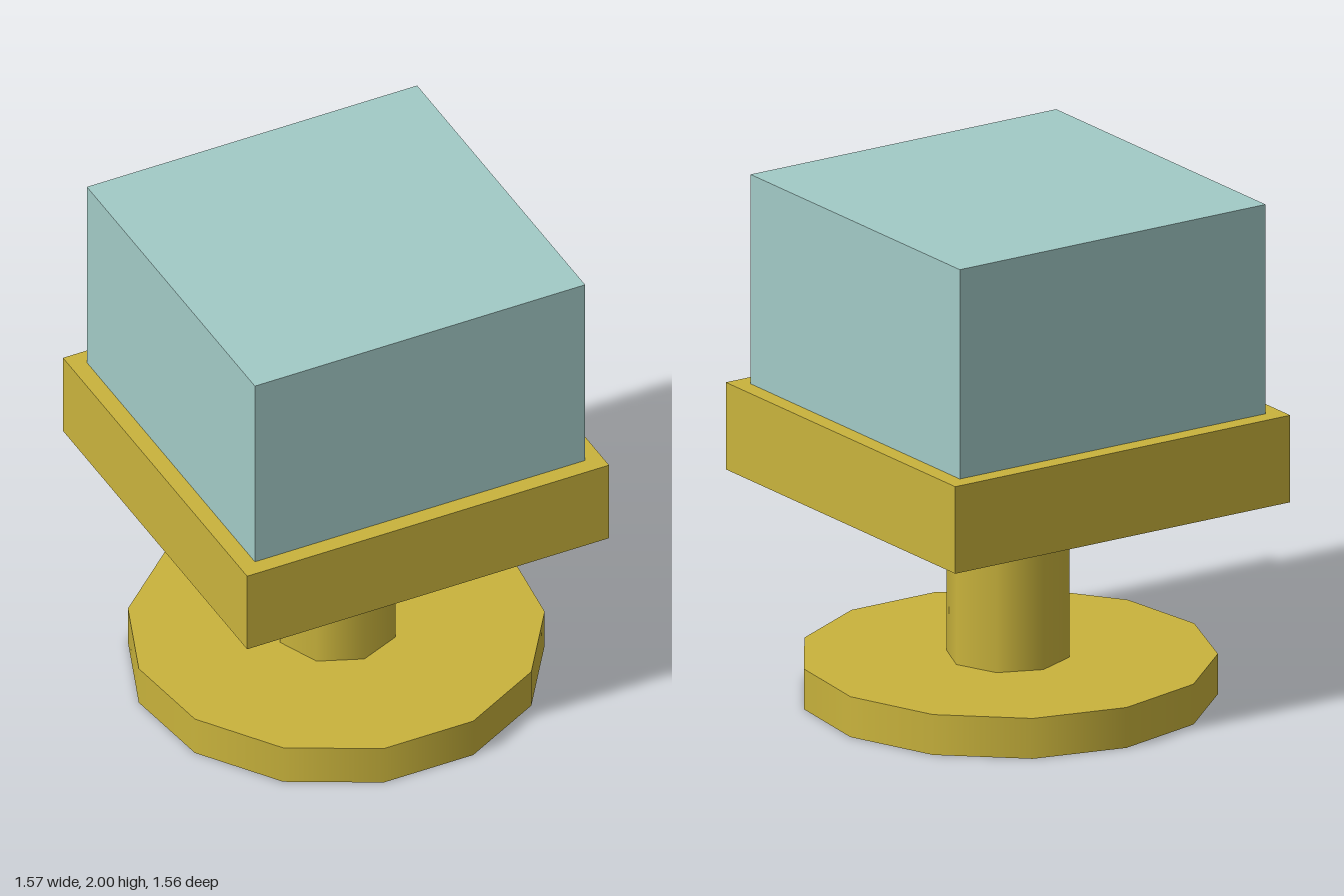
import * as THREE from 'three';

export function createModel() {
  const group = new THREE.Group();
  const gold = new THREE.MeshStandardMaterial({ color: 0xc9b33c });
  const teal = new THREE.MeshStandardMaterial({ color: 0xa2cac6 });

  // Adds a part spanning the heights y0 to y1
  const add = (name, makeGeometry, y0, y1, material) => {
    const mesh = new THREE.Mesh(makeGeometry(y1 - y0), material);
    mesh.name = name;
    mesh.position.set(0, (y0 + y1) / 2, 0.013);
    group.add(mesh);
    return mesh;
  };
  const disc = (radius, sides) => (h) => new THREE.CylinderGeometry(radius, radius, h, sides);
  const block = (width) => (h) => new THREE.BoxGeometry(width, h, width);

  // Thirteen-sided foot with one corner pointing to the back
  add('base', disc(0.791, 13), 0, 0.16, gold).rotation.y = Math.PI;
  // Eight-sided stem
  add('column', disc(0.236, 8), 0.16, 0.825, gold);
  // Square tray and the block resting on it
  add('plate', block(1.53), 0.825, 1.17, gold);
  add('topBlock', block(1.396), 1.17, 2, teal);

  return group;
}
